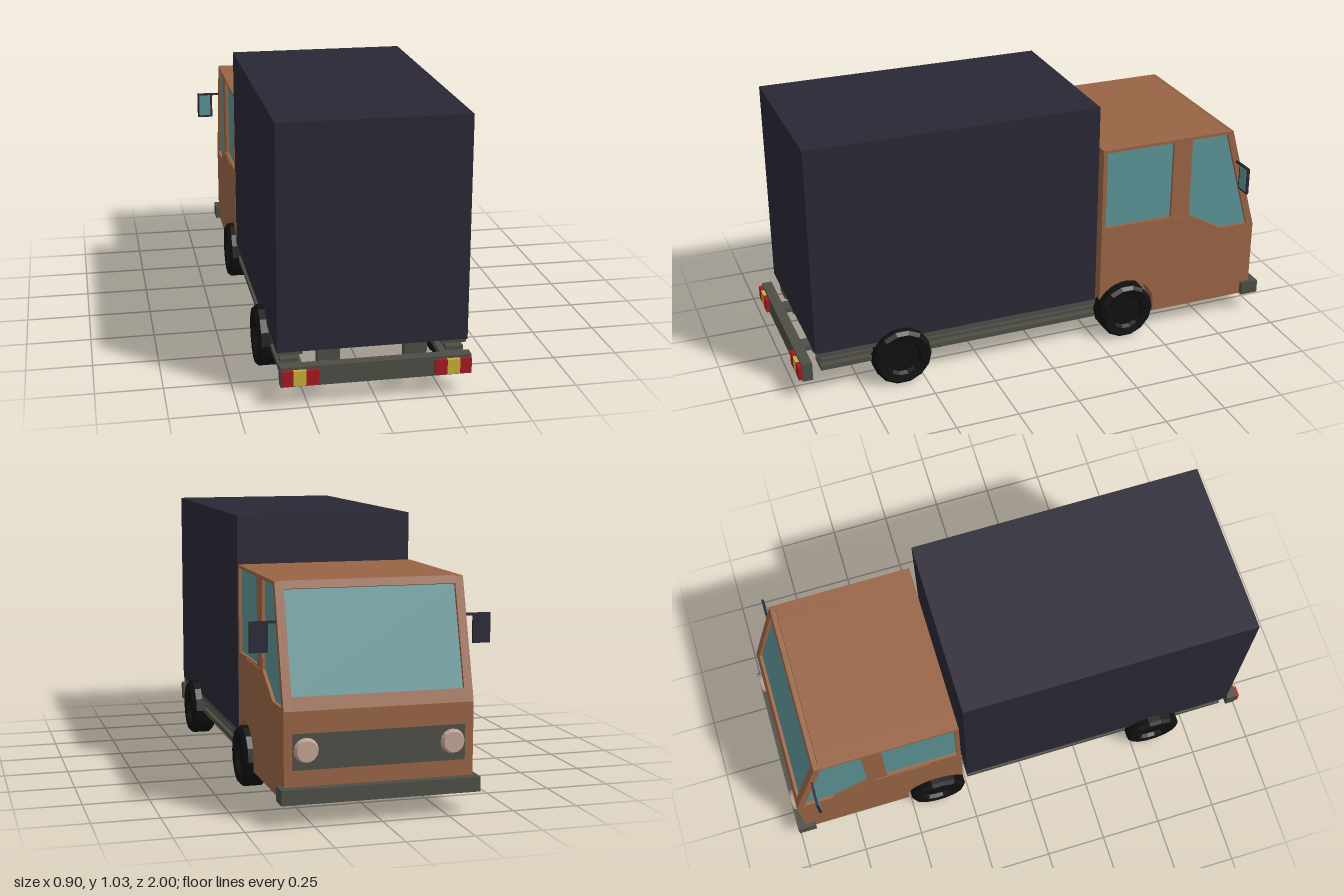
import * as THREE from 'three';

const paint = (color) => new THREE.MeshStandardMaterial({ color, flatShading: true });
const ORANGE = paint(0x986445), NAVY = paint(0x2a2735), GREY = paint(0x4e4e46), GLASS = paint(0x5b9294);
const RUBBER = paint(0x101010), RED = paint(0xa51a20), YELLOW = paint(0xc8b038), LAMP = paint(0xc0a594);

function add(parent, name, geometry, material) {
  const mesh = new THREE.Mesh(geometry, material);
  mesh.name = name;
  parent.add(mesh);
  return mesh;
}

// Box given by its minimum and maximum along each axis
function box(parent, name, material, [x0, x1], [y0, y1], [z0, z1]) {
  const mesh = add(parent, name, new THREE.BoxGeometry(Math.abs(x1 - x0), y1 - y0, z1 - z0), material);
  mesh.position.set((x0 + x1) / 2, (y0 + y1) / 2, (z0 + z1) / 2);
  return mesh;
}

const polygon = (points) => new THREE.Shape(points.map(([x, y]) => new THREE.Vector2(x, y)));

// Side-on shape (forward distance, height) extruded across the vehicle from x0 to x1
function across(parent, name, material, shape, x0, x1) {
  const g = new THREE.ExtrudeGeometry(shape, { depth: x1 - x0, bevelEnabled: false, curveSegments: 16 });
  g.rotateY(Math.PI / 2).translate(x0, 0, 0);
  return add(parent, name, g, material);
}

const SIDE = 0.352, SKIN = 0.02, WHEEL_Y = 0.118;
const FRONT_AXLE = 0.38, REAR_AXLE = -0.59;

// Cab side outline with the wheel arch cut out
function archedSide(inset) {
  const s = new THREE.Shape();
  s.moveTo(0.965, 0.085);
  s.lineTo(0.965, 0.41);
  s.lineTo(0.965 - inset, 0.41);
  s.lineTo(0.84 - inset, 0.85);
  s.lineTo(0.265, 0.85);
  s.absarc(FRONT_AXLE, 0.12, 0.132, Math.PI - 0.514, -0.268, true);
  return s;
}

function buildCab() {
  const cab = new THREE.Group();
  cab.name = 'cab';

  // Solid core and the bands beside it that carry the arches
  across(cab, 'cabCore', ORANGE, polygon([[0.265, 0.085], [0.965, 0.085], [0.965, 0.41],
    [0.944, 0.41], [0.819, 0.85], [0.265, 0.85]]), -0.28, 0.28);
  const windows = [
    [[0.282, 0.51], [0.575, 0.51], [0.575, 0.838], [0.282, 0.838]],
    [[0.657, 0.505], [0.81, 0.417], [0.933, 0.417], [0.815, 0.838], [0.657, 0.838]],
  ];
  for (const s of [1, -1]) {
    const span = (a, b) => (s > 0 ? [a, b] : [-b, -a]);
    across(cab, 'archBand', ORANGE, archedSide(0.021), ...span(0.28, SIDE - SKIN));
    // Door skin with recessed windows
    const skin = archedSide(0);
    for (const w of windows) {
      skin.holes.push(polygon(w));
      across(cab, 'sideWindow', GLASS, polygon(w), ...span(SIDE - SKIN - 0.002, SIDE - 0.012));
    }
    across(cab, 'sideSkin', ORANGE, skin, ...span(SIDE - SKIN, SIDE));
    across(cab, 'doorHandle', ORANGE, polygon([[0.4, 0.505], [0.46, 0.497], [0.62, 0.497], [0.63, 0.502]]),
      ...span(SIDE, SIDE + 0.004));
  }

  // Sloping windscreen frame and glass
  const screen = new THREE.Group();
  screen.name = 'windscreen';
  screen.rotation.order = 'YXZ';
  screen.rotation.set(-Math.atan2(0.125, 0.44), Math.PI, 0);
  screen.position.set(0, 0.41, -0.965);
  const w = SIDE - SKIN, len = Math.hypot(0.125, 0.44);
  const frame = polygon([[-w, 0], [w, 0], [w, len], [-w, len]]);
  frame.holes.push(polygon([[-0.32, 0.05], [0.32, 0.05], [0.32, 0.43], [-0.32, 0.43]]));
  const frameGeo = new THREE.ExtrudeGeometry(frame, { depth: SKIN, bevelEnabled: false });
  add(screen, 'windscreenFrame', frameGeo.translate(0, 0, -SKIN), ORANGE);
  box(screen, 'windscreenGlass', GLASS, [-0.322, 0.322], [0.048, 0.432], [-0.022, -0.012]);
  cab.add(screen);

  // Grille, headlights and wrap-around bumper
  box(cab, 'grille', GREY, [-0.32, 0.32], [0.2, 0.33], [-0.968, -0.95]);
  box(cab, 'frontBumper', GREY, [-0.37, 0.37], [0.085, 0.14], [-1, -0.965]);
  for (const s of [1, -1]) {
    box(cab, 'bumperEnd', GREY, [s * SIDE, s * 0.37], [0.085, 0.14], [-0.965, -0.925]);
    const lamp = add(cab, 'headlight', new THREE.CylinderGeometry(0.047, 0.038, 0.022, 16), LAMP);
    lamp.rotation.x = Math.PI / 2;
    lamp.position.set(s * 0.272, 0.27, -0.976);
    // Wing mirror
    box(cab, 'mirrorArm', NAVY, [s * 0.34, s * 0.39], [0.707, 0.716], [-0.869, -0.861]);
    box(cab, 'mirrorShell', NAVY, [s * 0.383, s * 0.45], [0.605, 0.716], [-0.871, -0.861]);
    box(cab, 'mirrorGlass', GLASS, [s * 0.392, s * 0.442], [0.614, 0.708], [-0.863, -0.859]);
  }
  return cab;
}

// Chunky tyre with a dished hub
function buildWheel(side, x, z) {
  const profile = [[0, -0.05], [0.105, -0.05], [0.118, -0.036], [0.118, 0.036], [0.105, 0.05],
    [0.075, 0.046], [0.066, 0.03], [0, 0.03]].map(([r, h]) => new THREE.Vector2(r, h));
  const wheel = new THREE.Mesh(new THREE.LatheGeometry(profile, 14), RUBBER);
  wheel.name = 'wheel';
  wheel.rotation.z = -side * Math.PI / 2;
  wheel.position.set(side * x, WHEEL_Y, z);
  return wheel;
}

function buildChassis() {
  const chassis = new THREE.Group();
  chassis.name = 'chassis';
  for (const s of [1, -1]) {
    // Stacked side rails with a hanger at the tail
    box(chassis, 'upperRail', GREY, [s * 0.257, s * 0.35], [0.17, 0.192], [-0.245, 0.91]);
    box(chassis, 'middleRail', GREY, [s * 0.275, s * 0.34], [0.142, 0.156], [-0.245, 0.91]);
    box(chassis, 'lowerRail', GREY, [s * 0.257, s * 0.345], [0.11, 0.13], [-0.245, 0.91]);
    // Rear bumper brackets
    box(chassis, 'bracket', GREY, [s * 0.12, s * 0.203], [0.11, 0.192], [0.865, 0.908]);
    box(chassis, 'bracketArm', GREY, [s * 0.13, s * 0.193], [0.118, 0.138], [0.9, 0.95]);
    // Tail lights
    [[0.305, 0.348, RED], [0.258, 0.305, YELLOW], [0.213, 0.258, RED]].forEach(([a, b, m]) =>
      box(chassis, 'tailLight', m, [s * a, s * b], [0.088, 0.145], [0.98, 1]));
    chassis.add(buildWheel(s, 0.333, -FRONT_AXLE), buildWheel(s, 0.342, -REAR_AXLE));
  }
  box(chassis, 'rearBumper', GREY, [-0.35, 0.35], [0.08, 0.155], [0.945, 0.986]);
  const axle = add(chassis, 'rearAxle', new THREE.CylinderGeometry(0.02, 0.02, 0.6, 8), RUBBER);
  axle.rotation.z = Math.PI / 2;
  axle.position.set(0, WHEEL_Y, -REAR_AXLE);
  return chassis;
}

export function createModel() {
  const truck = new THREE.Group();
  truck.name = 'boxTruck';
  box(truck, 'cargoBox', NAVY, [-0.353, 0.35], [0.19, 1.037], [-0.245, 0.93]);
  truck.add(buildCab(), buildChassis());
  return truck;
}
